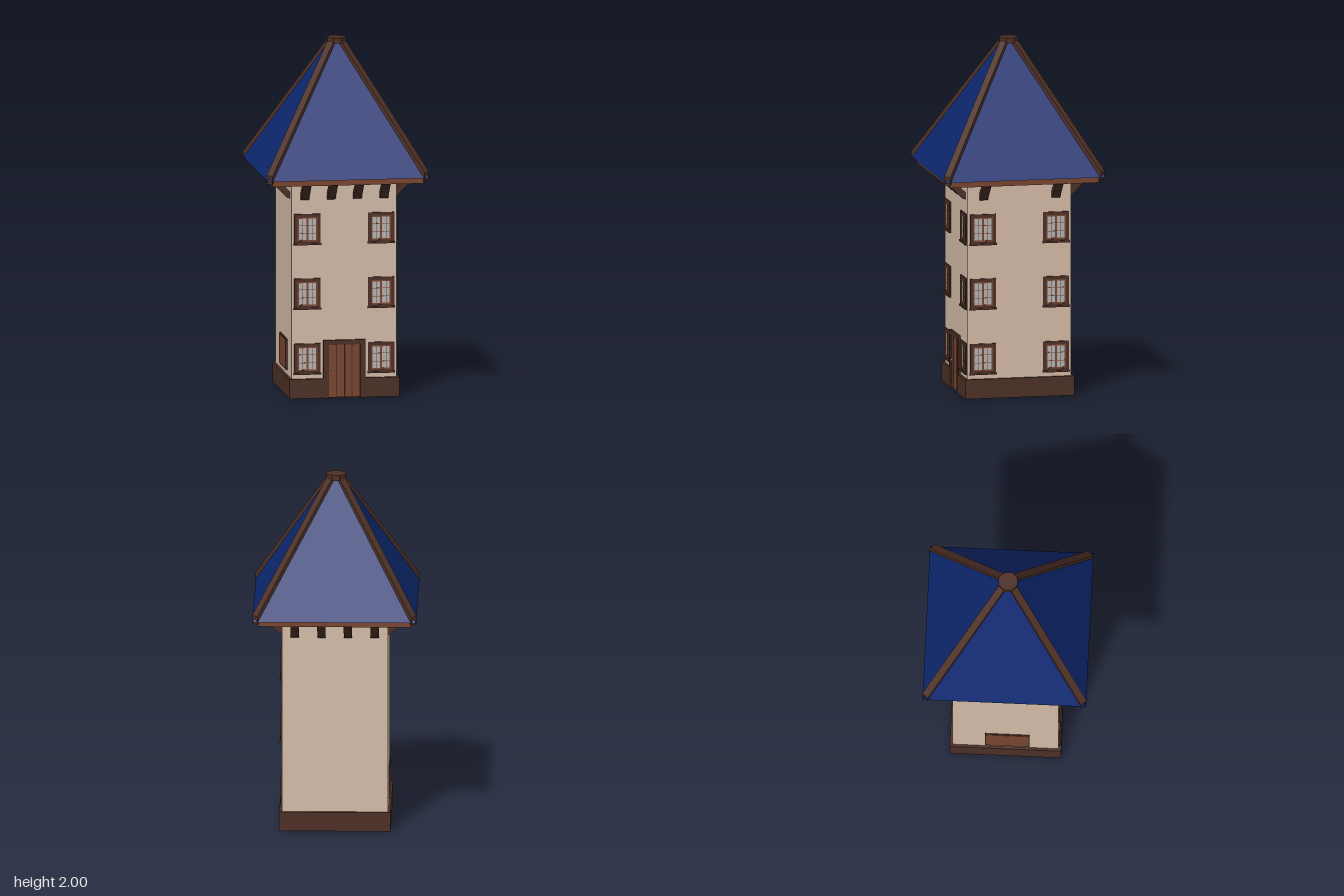
import * as THREE from 'three';

const mat = (color) => new THREE.MeshStandardMaterial({ color, flatShading: true });
const plaster = mat(0xd6bda9), darkWood = mat(0x4d3026), redWood = mat(0x7a4630),
  slate = mat(0x0d2870), glass = mat(0xb5b5b5), metal = mat(0xcccccc);

const WALL = 0.297; // half width of the tower

function add(parent, name, geometry, material, x = 0, y = 0, z = 0) {
  const m = new THREE.Mesh(geometry, material);
  m.name = name;
  m.position.set(x, y, z);
  parent.add(m);
  return m;
}
const box = (parent, name, material, w, h, d, x, y, z) =>
  add(parent, name, new THREE.BoxGeometry(w, h, d), material, x, y, z);

// Square tube standing on y0
function squareTube(parent, name, material, outer, inner, y0, h) {
  const square = (C, r) => new C([[-r, -r], [r, -r], [r, r], [-r, r]].map(([x, y]) => new THREE.Vector2(x, y)));
  const s = square(THREE.Shape, outer);
  s.holes.push(square(THREE.Path, inner));
  const g = new THREE.ExtrudeGeometry(s, { depth: h, bevelEnabled: false }).rotateX(-Math.PI / 2);
  return add(parent, name, g, material, 0, y0, 0);
}

// Two-sash window, facing +z, set through the wall plane at z = 0
function makeWindow(w = 0.148, h = 0.174) {
  const g = new THREE.Group();
  g.name = 'window';
  const t = 0.018, iw = w - 2 * t, ih = h - 2 * t;
  box(g, 'pane', glass, iw, ih, 0.026, 0, 0, -0.01);
  for (const s of [-1, 1]) {
    box(g, 'frameSide', darkWood, t, h, 0.034, s * (w - t) / 2, 0, -0.01);
    box(g, 'frameRail', darkWood, w, t, 0.034, 0, s * (h - t) / 2, -0.01);
    box(g, 'sashSide', redWood, 0.008, ih, 0.03, s * (iw / 2 - 0.004), 0, -0.01);
    box(g, 'sashRail', redWood, iw, 0.008, 0.03, 0, s * (ih / 2 - 0.004), -0.01);
    box(g, 'glazingBarUpright', redWood, 0.003, ih, 0.028, s * iw / 4, 0, -0.01);
    box(g, 'glazingBarCross', redWood, iw, 0.003, 0.028, 0, s * ih / 6, -0.01);
  }
  box(g, 'mullion', redWood, 0.012, ih, 0.031, 0, 0, -0.01);
  box(g, 'sill', darkWood, w + 0.008, 0.01, 0.014, 0, -h / 2 + 0.003, 0.005);
  return g;
}

function makeDoor() {
  const g = new THREE.Group();
  g.name = 'door';
  for (const s of [-1, 1]) box(g, 'doorPost', darkWood, 0.03, 0.33, 0.04, s * 0.104, 0.165, 0.292);
  box(g, 'doorLintel', darkWood, 0.238, 0.026, 0.04, 0, 0.317, 0.292);
  box(g, 'doorBacking', darkWood, 0.18, 0.304, 0.024, 0, 0.156, 0.288);
  const n = 4, pitch = 0.178 / n;
  for (let i = 0; i < n; i++)
    box(g, 'doorPlank', redWood, pitch - 0.005, 0.3, 0.03, (i - (n - 1) / 2) * pitch, 0.156, 0.289);
  add(g, 'doorKnob', new THREE.SphereGeometry(0.007, 10, 8), metal, -0.066, 0.163, 0.308);
  return g;
}

// Slanted strut under the eaves of the +z side, with a parallelogram profile
function makeBracket() {
  const p = [[0.285, 1.125], [0.312, 1.13], [0.41, 1.23], [0.365, 1.23], [0.285, 1.155]];
  const s = new THREE.Shape(p.map(([z, y]) => new THREE.Vector2(z, y)));
  return new THREE.ExtrudeGeometry(s, { depth: 0.046, bevelEnabled: false })
    .translate(0, 0, -0.023).rotateY(-Math.PI / 2);
}

export function createModel() {
  const model = new THREE.Group();
  model.name = 'tower';

  // Hollow tower body, open below
  squareTube(model, 'walls', plaster, WALL, WALL - 0.02, 0.005, 1.235);

  // Plinth, interrupted by the door
  const plinth = new THREE.Group();
  plinth.name = 'plinth';
  model.add(plinth);
  const ph = 0.11, py = 0.058;
  for (const s of [-1, 1]) {
    box(plinth, 'plinthSide', darkWood, 0.03, ph, 0.624, s * 0.297, py, 0);
    box(plinth, 'plinthFront', darkWood, 0.193, ph, 0.03, s * 0.2155, py, 0.297);
  }
  box(plinth, 'plinthBack', darkWood, 0.624, ph, 0.03, 0, py, -0.297);

  model.add(makeDoor());

  // Three storeys of windows on the front and the +x side
  for (const turn of [0, Math.PI / 2]) {
    const side = new THREE.Group();
    side.name = turn ? 'sideWindows' : 'frontWindows';
    side.rotation.y = turn;
    for (const y of [0.226, 0.595, 0.961])
      for (const x of [-0.209, 0.209]) {
        const w = makeWindow();
        w.position.set(x, y, WALL);
        side.add(w);
      }
    model.add(side);
  }

  // Wide hatch on the -x side: boarded outside, glazed inside
  box(model, 'hatchFrame', darkWood, 0.008, 0.178, 0.25, -0.299, 0.226, 0.01);
  box(model, 'hatchBoard', redWood, 0.008, 0.164, 0.236, -0.301, 0.226, 0.01);
  const inner = makeWindow(0.24, 0.174);
  inner.rotation.y = Math.PI / 2;
  inner.position.set(-0.272, 0.226, 0.01);
  model.add(inner);

  // Brackets: four on front and back, two on the sides
  const bracket = makeBracket();
  for (let i = 0; i < 4; i++) {
    const side = new THREE.Group();
    side.name = 'brackets';
    side.rotation.y = i * Math.PI / 2;
    for (const x of i % 2 ? [-0.207, 0.207] : [-0.224, -0.074, 0.074, 0.224])
      add(side, 'bracket', bracket, darkWood, x);
    model.add(side);
  }

  // Eaves
  box(model, 'soffit', darkWood, 0.83, 0.02, 0.83, 0, 1.242, 0);
  squareTube(model, 'fascia', redWood, 0.428, 0.405, 1.226, 0.034);

  // Pyramid roof
  const q = Math.SQRT2;
  const roof = new THREE.CylinderGeometry(0.032 * q, 0.458 * q, 0.725, 4).rotateY(Math.PI / 4);
  add(model, 'roof', roof, slate, 0, 1.6225, 0);

  // Hip beams along the four edges, with plumb-cut tails
  const profile = new THREE.Shape(
    [[0.63, 1.245], [0.63, 1.293], [0.04, 1.995], [0.04, 1.93]].map(([d, y]) => new THREE.Vector2(d, y)));
  const hip = new THREE.ExtrudeGeometry(profile, { depth: 0.042, bevelEnabled: false }).translate(0, 0, -0.021);
  for (let i = 0; i < 4; i++)
    add(model, 'hipBeam', hip, darkWood).rotation.y = Math.PI / 4 + i * Math.PI / 2;

  // Octagonal cap at the peak
  add(model, 'roofCap', new THREE.CylinderGeometry(0.057, 0.057, 0.03, 8).rotateY(Math.PI / 8), darkWood, 0, 1.985, 0);

  return model;
}
